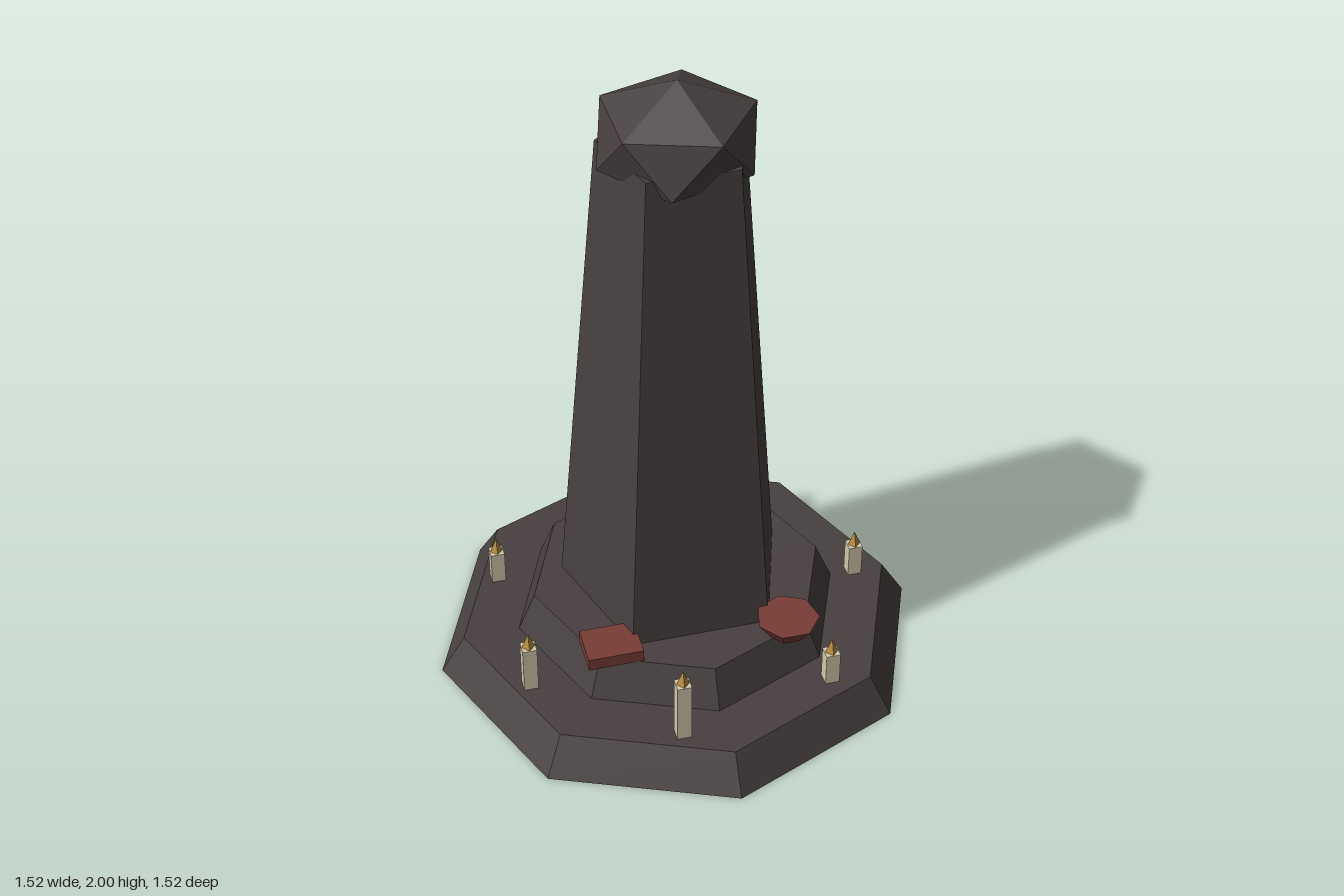
import * as THREE from 'three';
import { ConvexGeometry } from 'three/addons/geometries/ConvexGeometry.js';

function material(name, color) {
  const m = new THREE.MeshStandardMaterial({ color, flatShading: true });
  m.name = name;
  return m;
}

export function createModel() {
  const group = new THREE.Group();
  group.name = 'obeliskShrine';
  const stone = material('dark stone', 0x484040);
  const clay = material('red clay', 0x783d36);
  const wax = material('pale wax', 0xd2caaa);
  const flameGold = material('flame gold', 0xb98f3c);

  function add(name, geometry, mat, x, y, z, parent = group) {
    const mesh = new THREE.Mesh(geometry, mat);
    mesh.name = name;
    mesh.position.set(x, y, z);
    parent.add(mesh);
    return mesh;
  }

  // Tapered prism standing on y, with a corner at the given angle from +z
  function prism(name, rTop, rBottom, y, top, sides, mat, x = 0, z = 0, turn = 0) {
    const g = new THREE.CylinderGeometry(rTop, rBottom, top - y, sides, 1, false, turn);
    return add(name, g, mat, x, (y + top) / 2, z);
  }

  // Stepped octagonal plinth and five-sided pillar
  prism('lowerStep', 0.685, 0.76, 0, 0.12, 8, stone);
  prism('upperStep', 0.457, 0.51, 0.12, 0.245, 8, stone);
  prism('pillar', 0.228, 0.363, 0.245, 1.805, 5, stone, 0, 0, Math.PI);

  // Flattened icosahedral capstone with a corner towards +x
  const capRadius = 0.255, capHeight = 0.172, ring = 0.8944, level = 0.4472;
  const points = [new THREE.Vector3(0, capHeight, 0), new THREE.Vector3(0, -capHeight, 0)];
  for (let i = 0; i < 10; i++) {
    const a = (i * Math.PI) / 5;
    points.push(new THREE.Vector3(
      Math.cos(a) * ring * capRadius,
      (i % 2 ? -level : level) * capHeight,
      Math.sin(a) * ring * capRadius));
  }
  add('capstone', new ConvexGeometry(points), stone, 0, 1.828, 0);

  // Offerings on the upper step
  add('offeringBlock', new THREE.BoxGeometry(0.17, 0.04, 0.133), clay, -0.282, 0.265, 0.302);
  prism('offeringBowl', 0.098, 0.056, 0.245, 0.305, 7, clay, 0.255, 0.354, Math.PI);

  // Ring of seven candles in three repeating heights
  for (let i = 0; i < 7; i++) {
    const a = (i * 2 * Math.PI) / 7;
    const h = 0.11 + 0.046 * (i % 3);
    const candle = new THREE.Group();
    candle.name = 'candle' + (i + 1);
    candle.position.set(0.585 * Math.cos(a), 0.12, -0.585 * Math.sin(a));
    add('candleBody', new THREE.BoxGeometry(0.044, h, 0.044), wax, 0, h / 2, 0, candle);
    add('flame', new THREE.ConeGeometry(0.02, 0.05, 4), flameGold, 0, h + 0.025, 0, candle);
    group.add(candle);
  }
  return group;
}
